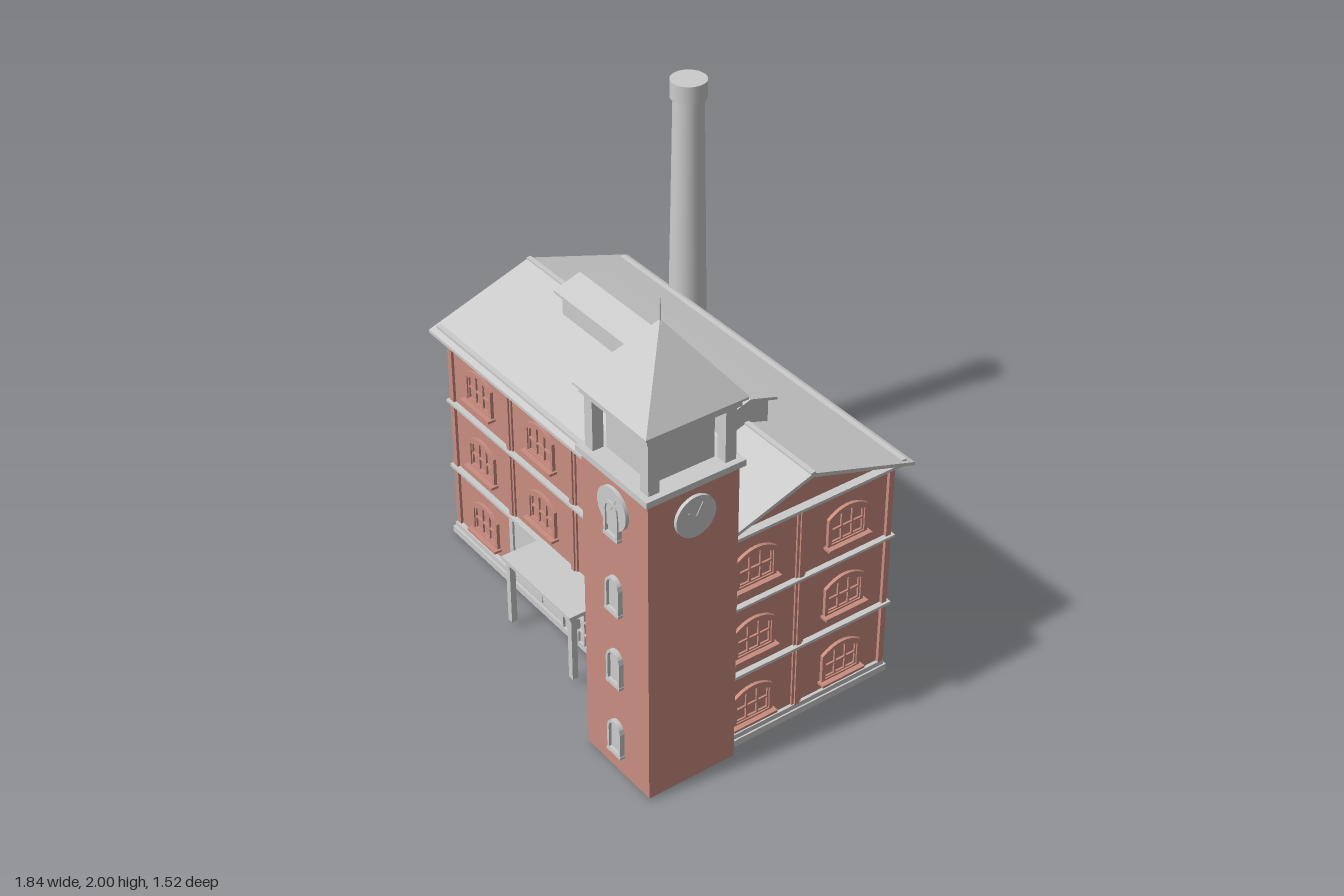
import * as THREE from 'three';

const grey = new THREE.MeshStandardMaterial({ color: 0xcccccc });
const greyFlat = new THREE.MeshStandardMaterial({ color: 0xcccccc, flatShading: true });
const brick = new THREE.MeshStandardMaterial({ color: 0xc98d80 });

function add(parent, name, geo, mat, x = 0, y = 0, z = 0) {
  const m = new THREE.Mesh(geo, mat);
  m.name = name;
  m.position.set(x, y, z);
  parent.add(m);
  return m;
}

// box given by its extents
function box(parent, name, mat, x0, x1, y0, y1, z0, z1) {
  return add(parent, name, new THREE.BoxGeometry(x1 - x0, y1 - y0, z1 - z0), mat,
    (x0 + x1) / 2, (y0 + y1) / 2, (z0 + z1) / 2);
}

function group(parent, name, x = 0, y = 0, z = 0, ry = 0) {
  const g = new THREE.Group();
  g.name = name;
  g.position.set(x, y, z);
  g.rotation.y = ry;
  parent.add(g);
  return g;
}

const extrude = (shape, depth) =>
  new THREE.ExtrudeGeometry(shape, { depth, bevelEnabled: false, curveSegments: 8 });
const polygon = pts => new THREE.Shape(pts.map(p => new THREE.Vector2(...p)));

// outline with a curved head between x0 and x1; head(x) gives the top edge
function headed(x0, x1, y0, head, n = 8) {
  const pts = [[x0, y0], [x1, y0]];
  for (let i = 0; i <= n; i++) {
    const x = x1 + (x0 - x1) * i / n;
    pts.push([x, head(x)]);
  }
  return polygon(pts);
}

// shape extruded along x from a profile of [z, y] points
function alongX(parent, name, mat, pts, x0, x1) {
  const geo = extrude(polygon(pts.map(([z, y]) => [-z, y])), x1 - x0).rotateY(Math.PI / 2);
  return add(parent, name, geo, mat, x0);
}

// arched window parts, standing on y = 0 and facing +z
const outerHead = x => 0.125 + 0.035 * (1 - (x / 0.093) ** 2);
const innerHead = x => 0.108 + 0.035 * (1 - (x / 0.08) ** 2);
const hoodShape = headed(-0.093, 0.093, 0, outerHead);
hoodShape.holes.push(headed(-0.078, 0.078, 0.008, innerHead));
const hoodGeo = extrude(hoodShape, 0.014);
const barShape = headed(-0.08, 0.08, 0.006, innerHead);
for (let c = -1; c <= 1; c++) {
  const a = c * 0.05 - 0.021, b = c * 0.05 + 0.021;
  barShape.holes.push(headed(a, b, 0.014, () => 0.062, 1));
  barShape.holes.push(headed(a, b, 0.07, x => innerHead(x) - 0.008, 4));
}
const barGeo = extrude(barShape, 0.008);
const sillGeo = new THREE.BoxGeometry(0.205, 0.011, 0.035);

function archedWindow(parent, x, y, z, ry) {
  const g = group(parent, 'archedWindow', x, y, z, ry);
  add(g, 'windowSurround', hoodGeo, brick);
  add(g, 'glazingBars', barGeo, brick);
  add(g, 'windowSill', sillGeo, brick, 0, -0.005, 0.0175);
}

function buildHall(root) {
  const g = group(root, 'mainHall');
  const X0 = -0.865, X1 = 0.835, Z0 = -0.405, Z1 = 0.425, cx = -0.015, cz = 0.01;
  const rows = [0.095, 0.42, 0.745];
  const bays = [-0.66, -0.23, 0.2, 0.63];

  box(g, 'plinth', grey, -0.885, 0.855, 0, 0.03, -0.43, 0.455);
  box(g, 'plinthTop', grey, -0.878, 0.848, 0.03, 0.052, -0.42, 0.445);
  // walls with both gables in one profile
  alongX(g, 'walls', brick, [[Z0, 0.04], [Z0, 0.99], [cz, 1.147], [Z1, 0.99], [Z1, 0.04]], X0, X1);

  // string courses and cornice
  for (const [y0, y1, o] of [[0.333, 0.346, 0.024], [0.657, 0.668, 0.024], [0.975, 0.987, 0.022], [0.987, 1.0, 0.035]])
    box(g, 'stringCourse', grey, X0 - o, X1 + o, y0, y1, Z0 - o, Z1 + o);

  // stepped pilasters on the front and sides
  const pilaster = (x, z, ry) => {
    const p = group(g, 'pilaster', x, 0, z, ry);
    box(p, 'pilasterBack', brick, -0.022, 0.022, 0.05, 0.976, -0.01, 0.008);
    box(p, 'pilasterFace', brick, -0.011, 0.011, 0.05, 0.976, 0, 0.015);
  };
  for (const x of [-0.45, -0.015, 0.42]) pilaster(x, Z1, 0);
  for (const [x, ry] of [[X0, -Math.PI / 2], [X1, Math.PI / 2]]) {
    pilaster(x, cz, ry);
    for (const z of [Z0, Z1])
      box(g, 'cornerPilaster', brick, x - 0.014, x + 0.014, 0.05, 0.976, z - 0.012, z + 0.012);
    for (const y of rows) for (const z of [cz - 0.213, cz + 0.213])
      archedWindow(g, x, y, z, ry);
  }

  // front windows, leaving the ground floor bays for the entrance
  rows.forEach((y, r) => bays.slice(0, r ? 3 : 1).forEach(x => archedWindow(g, x, y, Z1, 0)));
  // plain rear panels
  for (const y of rows) for (const x of bays)
    box(g, 'rearPanel', grey, x - 0.088, x + 0.088, y - 0.01, y + 0.195, Z0 - 0.008, Z0 + 0.01);

  // roof: folded slab, ridge cap and eave strips
  alongX(g, 'roof', grey, [[-0.475, 0.988], [-0.475, 1.002], [cz, 1.162], [0.49, 1.002], [0.49, 0.988], [cz, 1.145]], -0.92, 0.89);
  box(g, 'ridgeCap', grey, -0.92, 0.89, 1.15, 1.167, cz - 0.01, cz + 0.01);
  for (const s of [-1, 1])
    box(g, 'eaveStrip', grey, -0.9, 0.875, 0.997, 1.022, cz + s * 0.445 - 0.011, cz + s * 0.445 + 0.011);

  // raised roof vent
  box(g, 'roofVent', grey, -0.535, 0.505, 1.09, 1.245, cz - 0.098, cz + 0.098);
  alongX(g, 'roofVentCover', grey, [[cz - 0.124, 1.226], [cz - 0.124, 1.238], [cz, 1.277], [cz + 0.124, 1.238],
    [cz + 0.124, 1.226], [cz, 1.265]], -0.555, 0.527);
}

function buildEntrance(root) {
  const g = group(root, 'entrance');
  box(g, 'shopfrontPanel', grey, -0.44, 0.42, 0.05, 0.333, 0.41, 0.443);
  for (const x of [-0.435, -0.235, 0.205, 0.405])
    box(g, 'shopfrontPost', grey, x - 0.012, x + 0.012, 0.05, 0.333, 0.43, 0.452);
  for (const x of [-0.016, 0.04])
    box(g, 'shopfrontMullion', grey, x - 0.012, x + 0.012, 0.25, 0.333, 0.43, 0.448);
  box(g, 'shopfrontRail', grey, -0.44, 0.42, 0.062, 0.075, 0.43, 0.45);
  box(g, 'canopy', grey, -0.25, 0.22, 0.33, 0.347, 0.42, 0.615);
  for (const x of [-0.225, 0.2])
    box(g, 'canopyPost', grey, x - 0.013, x + 0.013, 0.03, 0.332, 0.578, 0.604);

  // pair of glazed doors
  const leaf = polygon([[-0.05, 0], [0.05, 0], [0.05, 0.215], [-0.05, 0.215]]);
  for (const x of [-0.021, 0.021]) for (let r = 0; r < 3; r++) {
    const y = 0.018 + r * 0.063;
    leaf.holes.push(polygon([[x - 0.017, y], [x + 0.017, y], [x + 0.017, y + 0.055], [x - 0.017, y + 0.055]]));
  }
  const leafGeo = extrude(leaf, 0.01);
  box(g, 'doorBacking', grey, -0.068, 0.145, 0.02, 0.25, 0.43, 0.457);
  for (const x of [-0.014, 0.092]) add(g, 'doorLeaf', leafGeo, grey, x, 0.028, 0.457);
  for (const x of [0.026, 0.052]) box(g, 'doorHandle', grey, x - 0.003, x + 0.003, 0.11, 0.16, 0.467, 0.475);
}

function buildTower(root) {
  const g = group(root, 'clockTower', 0.702, 0, 0.542);
  const h = 0.194;
  const slab = (name, mat, half, y0, y1) => box(g, name, mat, -half, half, y0, y1, -half, half);
  slab('towerShaft', brick, h, 0.01, 1.35);
  slab('towerCornice', grey, 0.21, 1.35, 1.376);
  slab('belfryCore', grey, 0.132, 1.376, 1.575);
  for (const x of [-0.162, 0.162]) for (const z of [-0.162, 0.162])
    box(g, 'belfryPost', grey, x - 0.023, x + 0.023, 1.376, 1.6, z - 0.023, z + 0.023);
  slab('belfryBeam', grey, 0.198, 1.597, 1.626);
  slab('roofEave', grey, 0.213, 1.626, 1.637);
  add(g, 'towerRoof', new THREE.ConeGeometry(0.215 * Math.SQRT2, 0.28, 4).rotateY(Math.PI / 4), greyFlat, 0, 1.777, 0);
  add(g, 'spire', new THREE.CylinderGeometry(0.002, 0.004, 0.1, 8), grey, 0, 1.95, 0);

  // a clock on each face
  const face = new THREE.CylinderGeometry(0.085, 0.085, 0.016, 32).rotateX(Math.PI / 2);
  for (let i = 0; i < 4; i++) {
    const c = group(g, 'clock', 0, 1.225, 0, i * Math.PI / 2);
    add(c, 'clockFace', face, grey, 0, 0, h + 0.006);
    for (const [len, a] of [[0.06, -0.5], [0.042, 0.9]]) {
      const hand = new THREE.BoxGeometry(0.006, len, 0.004).translate(0, len / 2, 0).rotateZ(a);
      add(c, 'clockHand', hand, grey, 0, 0, h + 0.015);
    }
  }

  // stair windows up the front
  const arch = (w, y0, spring) => headed(-w, w, y0, x => spring + Math.sqrt(Math.max(0, w * w - x * x)), 14);
  const rim = arch(0.041, 0, 0.112);
  rim.holes.push(arch(0.03, 0.012, 0.112));
  const rimGeo = extrude(rim, 0.02), paneGeo = extrude(arch(0.034, 0.006, 0.112), 0.008);
  for (let i = 0; i < 4; i++) {
    const w = group(g, 'stairWindow', 0, 0.1 + i * 0.335, h);
    add(w, 'stairWindowRim', rimGeo, grey);
    add(w, 'stairWindowPane', paneGeo, grey);
    box(w, 'stairWindowSill', grey, -0.043, 0.043, -0.005, 0.007, 0, 0.022);
  }
}

function buildChimney(root) {
  const g = group(root, 'chimney', -0.666, 0, -0.598);
  box(g, 'chimneyBase', brick, -0.162, 0.162, 0.01, 0.14, -0.165, 0.165);
  add(g, 'chimneyShaft', new THREE.CylinderGeometry(0.064, 0.092, 1.8, 32), grey, 0, 0.908, 0);
  add(g, 'chimneyCap', new THREE.CylinderGeometry(0.076, 0.076, 0.077, 32), grey, 0, 1.846, 0);
}

export function createModel() {
  const root = new THREE.Group();
  root.name = 'factory';
  buildHall(root);
  buildEntrance(root);
  buildTower(root);
  buildChimney(root);
  return root;
}
